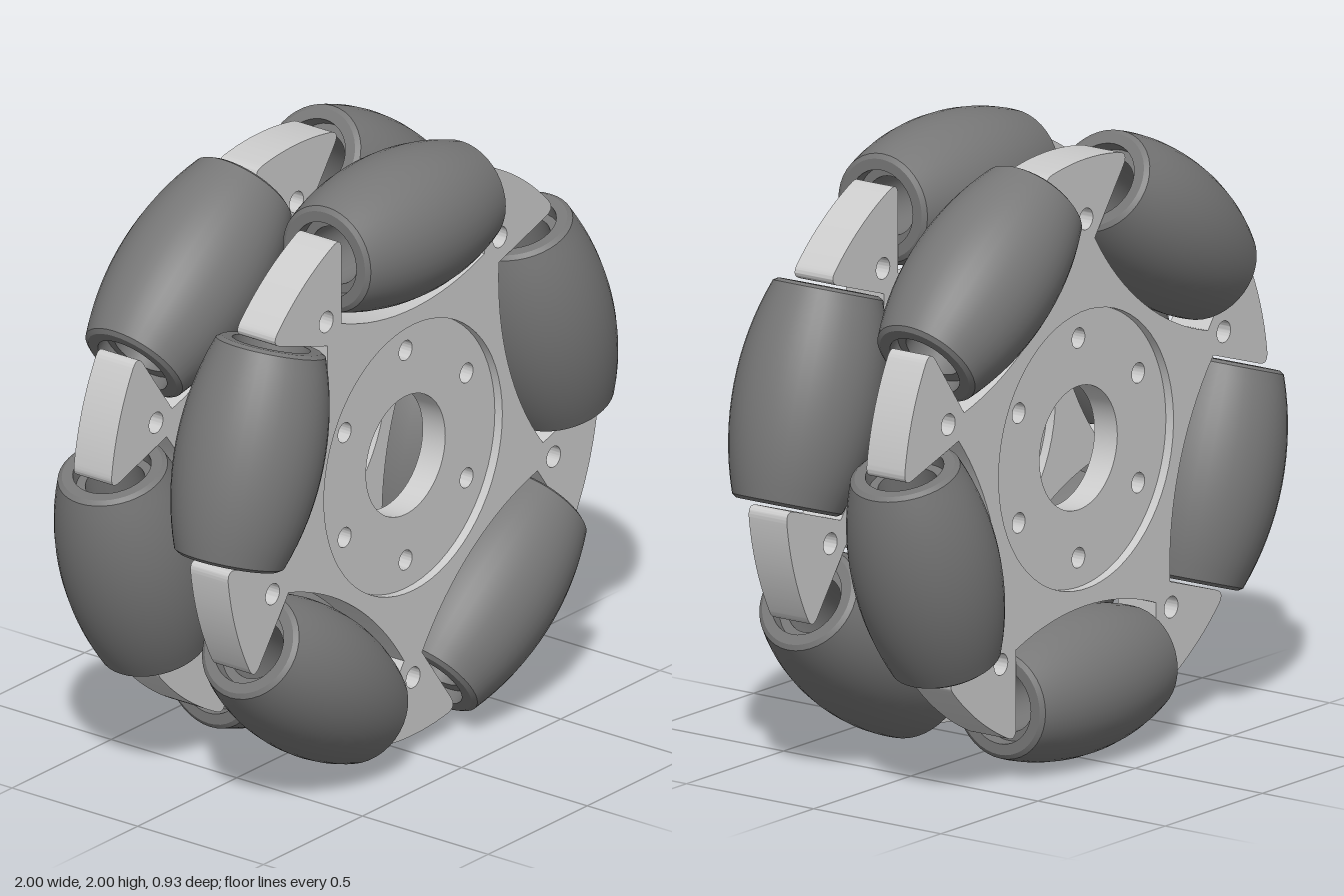
import * as THREE from 'three';
import { toCreasedNormals } from 'three/addons/utils/BufferGeometryUtils.js';

const COUNT = 5;
const STEP = (Math.PI * 2) / COUNT;
const AXIS_R = 0.765;   // distance of roller axes from the wheel centre
const ROLLER_HALF = 0.35;
const POCKET_HALF = 0.36;
const RIM_R = 0.94;
const THICK = 0.15;
const HUB_R = 0.45;
const HUB_THICK = 0.09;

const metal = new THREE.MeshStandardMaterial({ color: 0xcccccc });
const rubber = new THREE.MeshStandardMaterial({ color: 0x777777 });

function circle(x, y, r) {
  return new THREE.Path().absarc(x, y, r, 0, Math.PI * 2, true);
}

function polar(r, a) {
  return [r * Math.cos(a), r * Math.sin(a)];
}

function slab(shape, depth) {
  const geo = new THREE.ExtrudeGeometry(shape, { depth, bevelEnabled: false, curveSegments: 32 });
  geo.translate(0, 0, -depth / 2);
  return toCreasedNormals(geo, 0.5);
}

// Star-shaped plate: five spokes between curved roller pockets
function plateGeometry() {
  const shape = new THREE.Shape();
  const edge = Math.asin(POCKET_HALF / RIM_R);
  const soft = edge + 0.05;
  for (let k = 0; k < COUNT; k++) {
    const a = Math.PI / 2 + k * STEP;
    // t runs counter-clockwise along the pocket, r runs outwards
    const at = (t, r) => [r * Math.cos(a) - t * Math.sin(a), r * Math.sin(a) + t * Math.cos(a)];
    const start = polar(RIM_R, a - soft);
    if (k === 0) shape.moveTo(...start);
    shape.quadraticCurveTo(...polar(RIM_R, a - edge), ...at(-POCKET_HALF, 0.82));
    for (let i = 0; i <= 16; i++) {
      const t = POCKET_HALF * (i / 8 - 1);
      shape.lineTo(...at(t, 1.505 - Math.sqrt(1 - t * t)));
    }
    shape.lineTo(...at(POCKET_HALF, 0.82));
    shape.quadraticCurveTo(...polar(RIM_R, a + edge), ...polar(RIM_R, a + soft));
    shape.absarc(0, 0, RIM_R, a + soft, a + STEP - soft, false);
    // Bolt hole near the end of each spoke
    shape.holes.push(circle(...polar(0.745, a + STEP / 2), 0.035));
  }
  shape.holes.push(circle(0, 0, HUB_R));
  return slab(shape, THICK);
}

// Recessed hub disc with bore and six bolt holes
function hubGeometry() {
  const shape = new THREE.Shape().absarc(0, 0, HUB_R, 0, Math.PI * 2, false);
  shape.holes.push(circle(0, 0, 0.2));
  for (let i = 0; i < 6; i++) {
    shape.holes.push(circle(...polar(0.355, Math.PI / 2 + i * Math.PI / 3), 0.033));
  }
  return slab(shape, HUB_THICK);
}

// Barrel roller whose outer curve follows the wheel circle, with a stepped bore
function rollerGeometry() {
  const pts = [];
  const add = (r, y) => pts.push(new THREE.Vector2(r, y));
  const h = ROLLER_HALF;
  add(0.125, -h);
  add(0.16, -h);
  for (let i = 0; i <= 16; i++) {
    const y = (h - 0.01) * (i / 8 - 1);
    add(Math.sqrt(1 - y * y) - AXIS_R, y);
  }
  add(0.16, h);
  add(0.125, h);
  add(0.125, h - 0.05);
  add(0.095, h - 0.05);
  add(0.095, -h + 0.05);
  add(0.125, -h + 0.05);
  add(0.125, -h);
  const geo = new THREE.LatheGeometry(pts, 40);
  geo.rotateZ(Math.PI / 2);
  return toCreasedNormals(geo, 0.5);
}

export function createModel() {
  const model = new THREE.Group();
  model.name = 'omniWheel';
  const plateGeo = plateGeometry();
  const hubGeo = hubGeometry();
  const rollerGeo = rollerGeometry();

  // Two identical rows, the rear one turned by half a step
  for (const [name, z, turn] of [['frontRow', 0.232, 0], ['rearRow', -0.232, STEP / 2]]) {
    const row = new THREE.Group();
    row.name = name;
    row.position.set(0, 1, z);
    row.rotation.z = turn;

    const plate = new THREE.Mesh(plateGeo, metal);
    plate.name = 'spokePlate';
    const hub = new THREE.Mesh(hubGeo, metal);
    hub.name = 'hubDisc';
    hub.rotation.z = -turn;
    row.add(plate, hub);

    for (let k = 0; k < COUNT; k++) {
      const a = k * STEP;
      const roller = new THREE.Mesh(rollerGeo, rubber);
      roller.name = 'roller';
      roller.position.set(-AXIS_R * Math.sin(a), AXIS_R * Math.cos(a), 0);
      roller.rotation.z = a;
      row.add(roller);
    }
    model.add(row);
  }
  return model;
}
